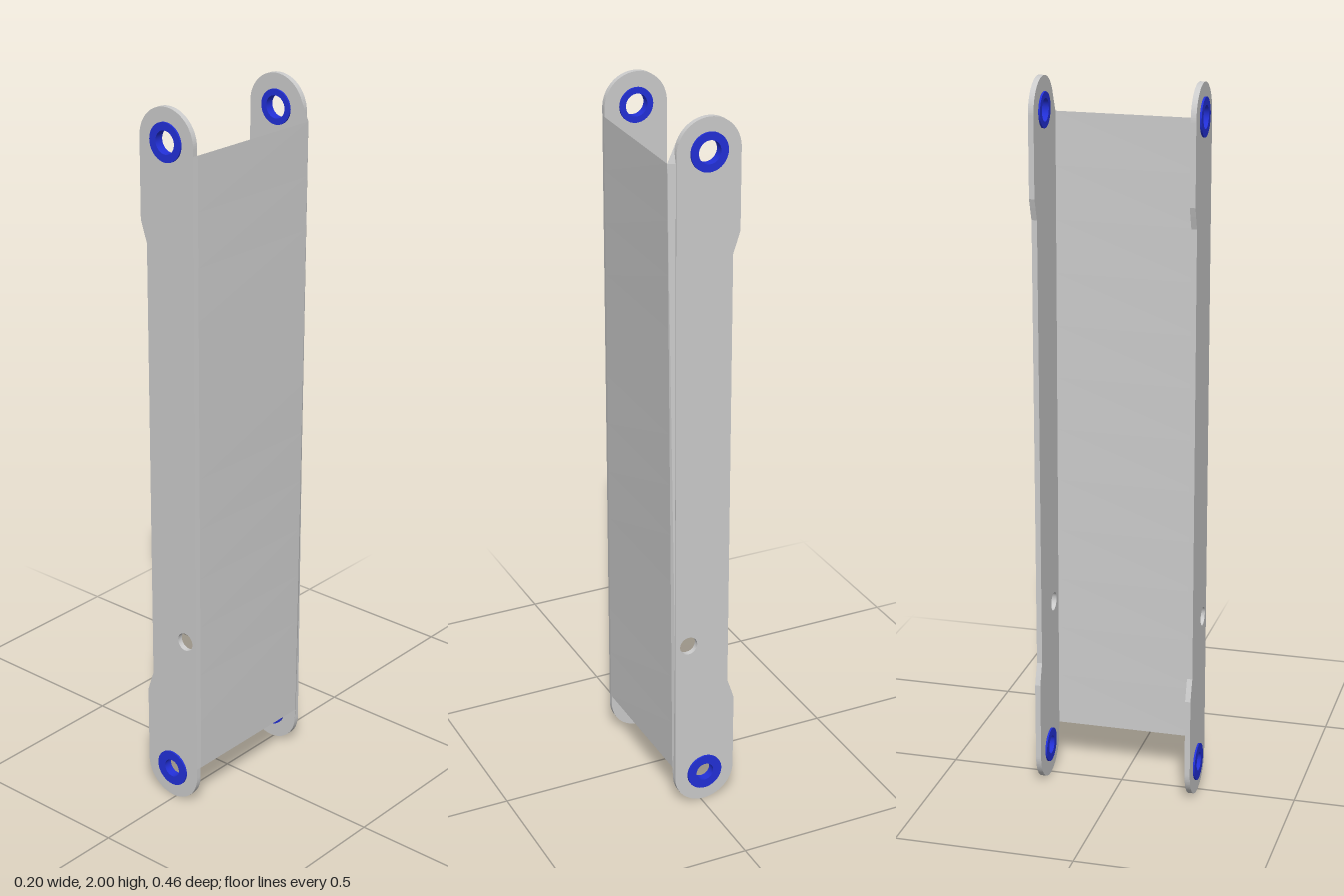
import * as THREE from 'three';

const CX = -0.01, R = 0.09, LOW = 0.09, HIGH = 1.91;
const EDGE = CX + R; // edge of the plates that carries the web

const grey = new THREE.MeshStandardMaterial({ color: 0xcccccc });
const greySheet = new THREE.MeshStandardMaterial({ color: 0xcccccc, side: THREE.DoubleSide });
const blue = new THREE.MeshStandardMaterial({ color: 0x2230d8 });

function add(group, name, geometry, material) {
  const mesh = new THREE.Mesh(geometry, material);
  mesh.name = name;
  group.add(mesh);
  return mesh;
}

function hole(x, y, r) {
  return new THREE.Path().absarc(x, y, r, 0, Math.PI * 2, true);
}

// Side plate: round ends, waisted on one edge, with pivot holes and a small hole
function plateGeometry(depth) {
  const s = new THREE.Shape();
  s.moveTo(EDGE, LOW);
  s.lineTo(EDGE, HIGH);
  s.absarc(CX, HIGH, R, 0, Math.PI, false);
  s.lineTo(-0.1, 1.69);
  s.lineTo(-0.092, 1.665);
  s.lineTo(-0.08, 1.63);
  s.lineTo(-0.08, 0.37);
  s.lineTo(-0.092, 0.335);
  s.lineTo(-0.1, 0.31);
  s.lineTo(-0.1, LOW);
  s.absarc(CX, LOW, R, Math.PI, Math.PI * 2, false);
  s.holes.push(hole(CX, LOW, 0.04), hole(CX, HIGH, 0.04), hole(0.04, 0.51, 0.026));
  return new THREE.ExtrudeGeometry(s, { depth, bevelEnabled: false, curveSegments: 24 });
}

// Flanged bushing, turned around z; wider flange at positive z
function bushingGeometry(bore) {
  const profile = [
    [bore, -0.0125], [0.048, -0.0125], [0.048, -0.007], [0.04, -0.007],
    [0.04, 0.007], [0.052, 0.007], [0.052, 0.0125], [bore, 0.0125], [bore, -0.0125],
  ].map(([r, h]) => new THREE.Vector2(r, h));
  // Each profile segment is turned on its own so that the edges stay sharp
  const points = profile.slice(1).map((p, i) => [profile[i], p]);
  return points.map((pair) => new THREE.LatheGeometry(pair, 40).rotateX(Math.PI / 2));
}

// Flat-shaded surface from a list of quads, each with four corners in order
function quads(list) {
  const pos = [];
  for (const [a, b, c, d] of list) pos.push(...a, ...b, ...c, ...a, ...c, ...d);
  const g = new THREE.BufferGeometry();
  g.setAttribute('position', new THREE.Float32BufferAttribute(pos, 3));
  g.computeVertexNormals();
  return g;
}

export function createModel() {
  const model = new THREE.Group();
  model.name = 'linkArm';
  const depth = 0.015;
  const frontInner = 0.207, backInner = -0.209;

  add(model, 'frontPlate', plateGeometry(depth), grey).position.z = frontInner;
  add(model, 'backPlate', plateGeometry(depth), grey).position.z = backInner - depth;

  // Bushings in all four pivot holes
  for (const side of [1, -1]) {
    for (const [y, bore] of [[LOW, 0.026], [HIGH, 0.031]]) {
      const bushing = new THREE.Group();
      bushing.name = (side > 0 ? 'front' : 'back') + (y > 1 ? 'Upper' : 'Lower') + 'Bushing';
      for (const g of bushingGeometry(bore)) add(bushing, 'bushingFace', g, blue);
      bushing.position.set(CX, y, side > 0 ? 0.2145 : -0.2165);
      if (side < 0) bushing.rotation.y = Math.PI;
      model.add(bushing);
    }
  }

  // Thin web, twisted outward toward its upper back corner
  const bottom = 0.12, top = 1.89, flare = 0.098, steps = 12;
  const point = (t, u) => [
    EDGE + 0.002 + (flare - EDGE - 0.002) * t * u,
    bottom + (top - bottom) * t,
    frontInner + (backInner - frontInner) * u,
  ];
  const web = [];
  for (let i = 0; i < steps; i++) {
    const a = i / steps, b = (i + 1) / steps;
    web.push([point(a, 0), point(a, 1), point(b, 1), point(b, 0)]);
  }
  add(model, 'web', quads(web), greySheet);

  // Narrow joint from the front plate's edge to the web
  add(model, 'frontSeam', quads([
    [[EDGE, bottom, frontInner + depth], point(0, 0), point(1, 0), [EDGE, top, frontInner + depth]],
  ]), greySheet);

  // Tapered wedge that carries the back plate out to the web
  const sections = [[0.09, EDGE], [bottom, EDGE + 0.002], [top, flare], [1.94, EDGE - 0.005]]
    .map(([y, tip]) => [
      [EDGE - 0.005, y, backInner - depth], [tip, y, backInner], [EDGE - 0.005, y, backInner],
    ]);
  const wedge = [];
  for (let i = 0; i < sections.length - 1; i++) {
    const p = sections[i], q = sections[i + 1];
    for (let k = 0; k < 3; k++) {
      const n = (k + 1) % 3;
      wedge.push([p[k], q[k], q[n], p[n]]);
    }
  }
  add(model, 'backWedge', quads(wedge), greySheet);

  return model;
}
